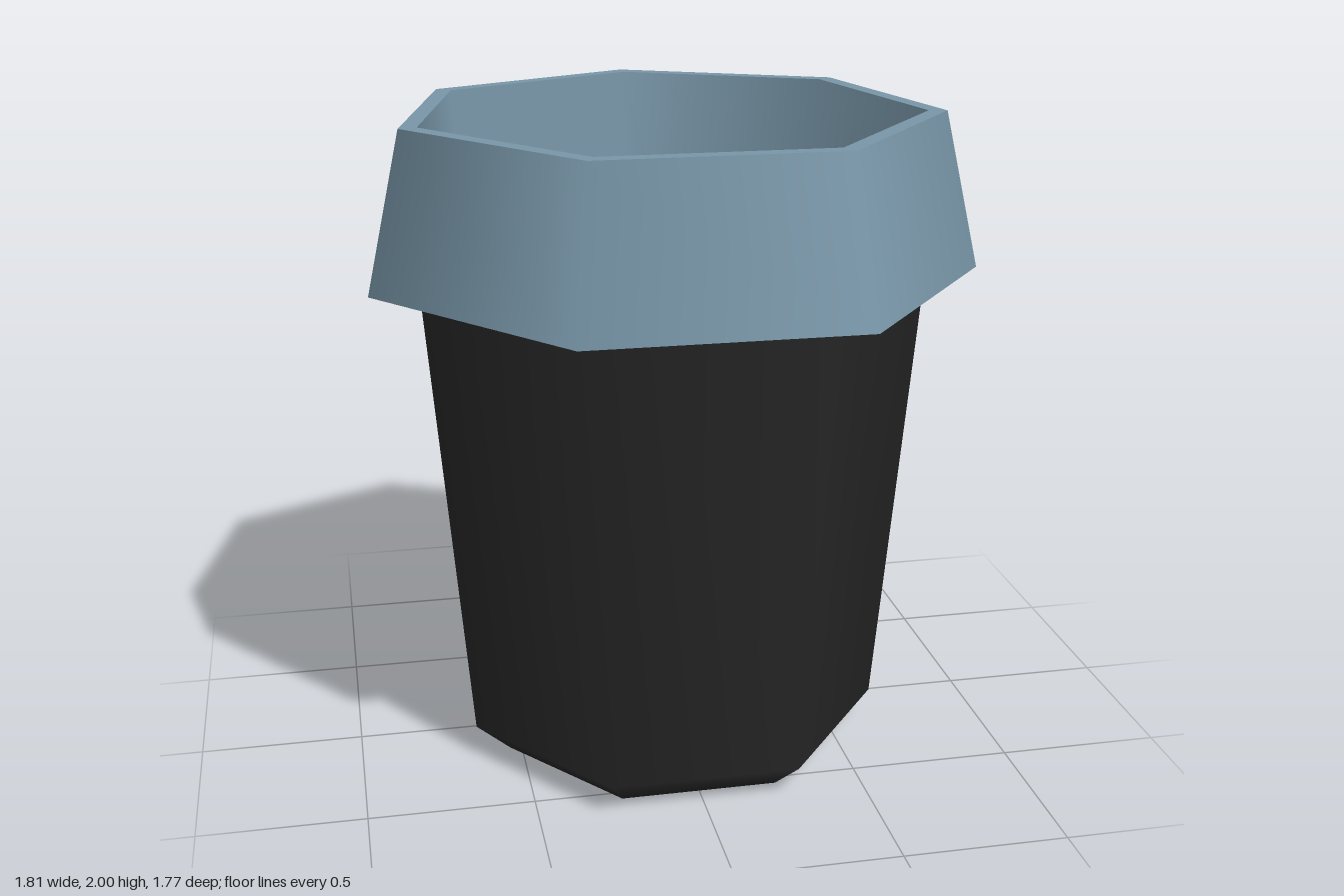
import * as THREE from 'three';

const SIDES = 7;

export function createModel() {
  const blue = new THREE.MeshStandardMaterial({ color: 0x7896a8, side: THREE.DoubleSide });
  blue.name = 'dusty blue';
  const black = new THREE.MeshStandardMaterial({ color: 0x262626 });
  black.name = 'soft black';

  const model = new THREE.Group();
  model.name = 'bin';

  // Seven-sided ring from a [radius, height] profile, one corner pointing to the back
  function ring(name, profile, material) {
    const points = profile.map(([r, y]) => new THREE.Vector2(r, y));
    const mesh = new THREE.Mesh(new THREE.LatheGeometry(points, SIDES, Math.PI), material);
    mesh.name = name;
    mesh.position.z = 0.04;
    model.add(mesh);
  }

  // Tapered outer body with a bevelled foot
  ring('body', [[0, 0], [0.55, 0], [0.66, 0.1], [0.818, 2 - 0.005]], black);

  // Flared collar, open underneath
  ring('collar', [[0.93, 1.53], [0.82, 2]], blue);
  ring('rim', [[0.82, 2], [0.765, 2]], blue);

  // Inner liner and floor
  ring('innerWall', [[0.765, 2], [0.595, 0.1]], blue);
  ring('innerFloor', [[0.595, 0.1], [0, 0.1]], blue);

  return model;
}
